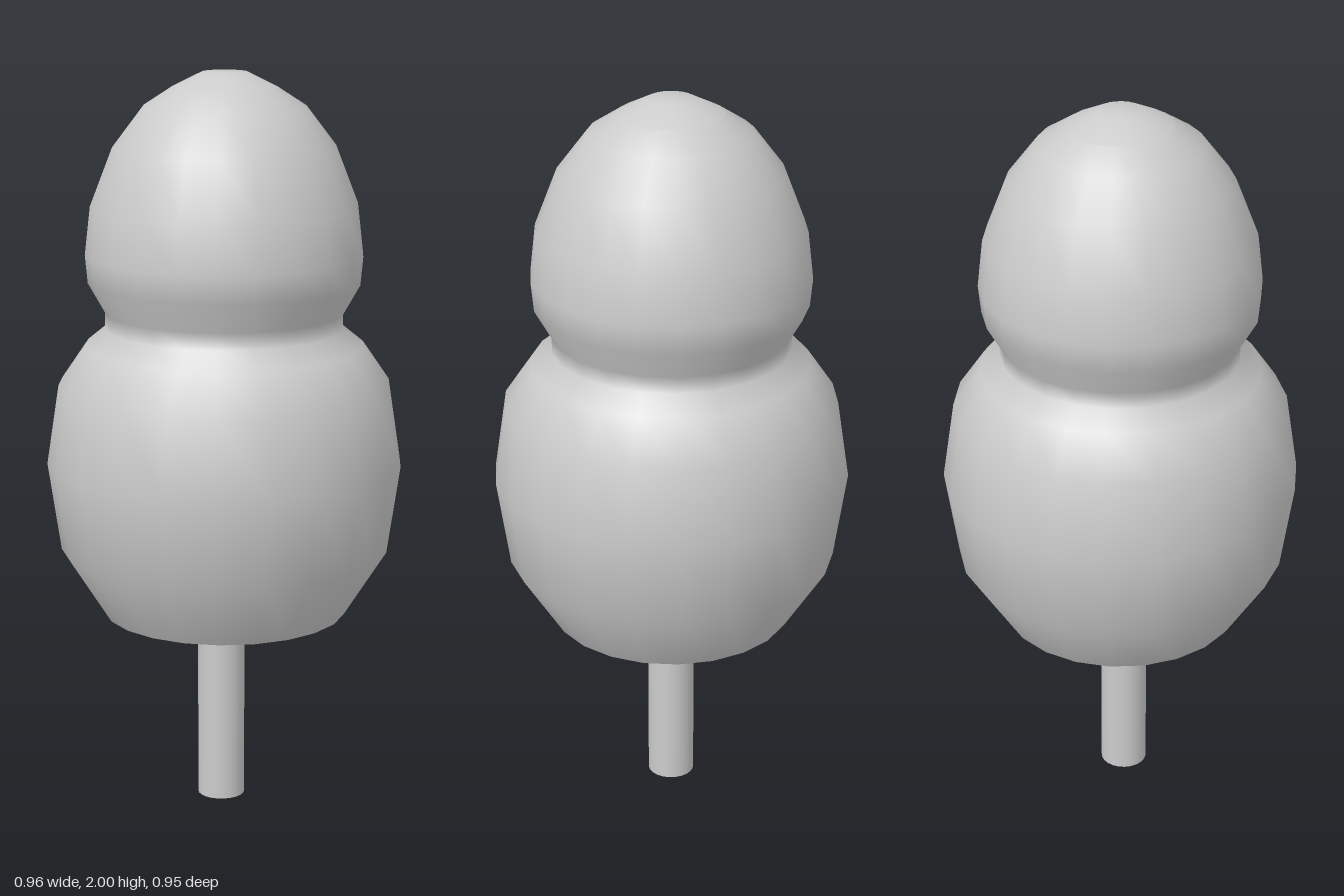
import * as THREE from 'three';

const SIDES = 22;

// Turns a profile of [radius, height] pairs into a smooth surface of revolution.
function turned(name, profile, material) {
  const points = profile.map(([r, y]) => new THREE.Vector2(r, y));
  const geometry = new THREE.LatheGeometry(points, SIDES);
  geometry.rotateY(Math.PI / 2);
  const mesh = new THREE.Mesh(geometry, material);
  mesh.name = name;
  return mesh;
}

export function createModel() {
  const material = new THREE.MeshStandardMaterial({ color: 0xcccccc });
  const tree = new THREE.Group();
  tree.name = 'topiaryTree';

  // Foliage: wide lower ball, narrow neck, egg-shaped upper ball
  tree.add(turned('foliage', [
    [0.33, 0.533], [0.445, 0.715], [0.48, 0.955], [0.447, 1.17],
    [0.375, 1.275], [0.32, 1.32], [0.32, 1.365], [0.365, 1.445],
    [0.372, 1.52], [0.357, 1.65], [0.297, 1.805], [0.217, 1.91], [0.14, 1.96],
  ], material));

  // Rounded tip with its own edge
  tree.add(turned('foliageTip', [[0.14, 1.96], [0.06, 2], [0, 2]], material));

  // Flat underside of the foliage
  tree.add(turned('foliageUnderside', [[0, 0.533], [0.33, 0.533]], material));

  // Trunk, slightly off the axis
  const trunk = new THREE.Mesh(new THREE.CylinderGeometry(0.064, 0.064, 0.56, SIDES), material);
  trunk.name = 'trunk';
  trunk.position.set(-0.01, 0.28, 0);
  tree.add(trunk);

  return tree;
}
